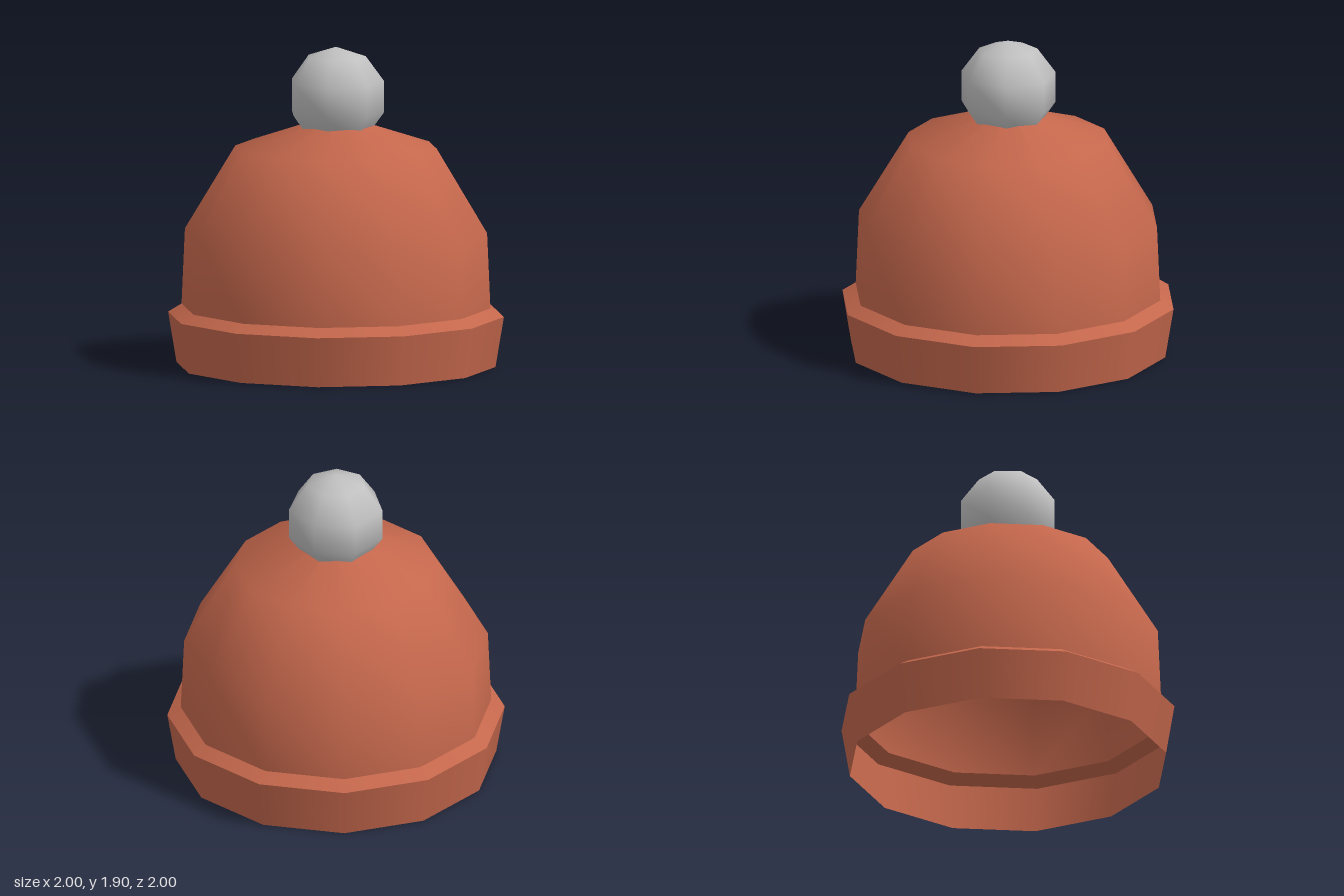
import * as THREE from 'three';

export function createModel() {
  const model = new THREE.Group();
  model.name = 'bobbleHat';

  const wool = new THREE.MeshStandardMaterial({ color: 0xc4674c, side: THREE.DoubleSide });
  wool.name = 'rust wool';
  const fluff = new THREE.MeshStandardMaterial({ color: 0xc0c0c0 });
  fluff.name = 'grey fluff';

  // Twelve-sided open shell from a [radius, height] profile, bottom to top
  const addShell = (name, profile) => {
    const points = profile.map(([r, y]) => new THREE.Vector2(r, y));
    const mesh = new THREE.Mesh(new THREE.LatheGeometry(points, 12), wool);
    mesh.name = name;
    model.add(mesh);
  };

  // Separate shells keep the folded brim's edges sharp
  addShell('brim', [[0.95, 0], [1, 0.3]]);
  addShell('brimTop', [[1, 0.3], [0.92, 0.35]]);
  addShell('crown', [[0.92, 0.35], [0.9, 0.8], [0.6, 1.3], [0, 1.5]]);

  // Seven-sided bobble, with one corner towards +x
  const bobble = new THREE.Mesh(new THREE.SphereGeometry(0.3, 7, 5), fluff);
  bobble.name = 'bobble';
  bobble.position.y = 1.6;
  bobble.rotation.y = Math.PI;
  model.add(bobble);

  return model;
}
